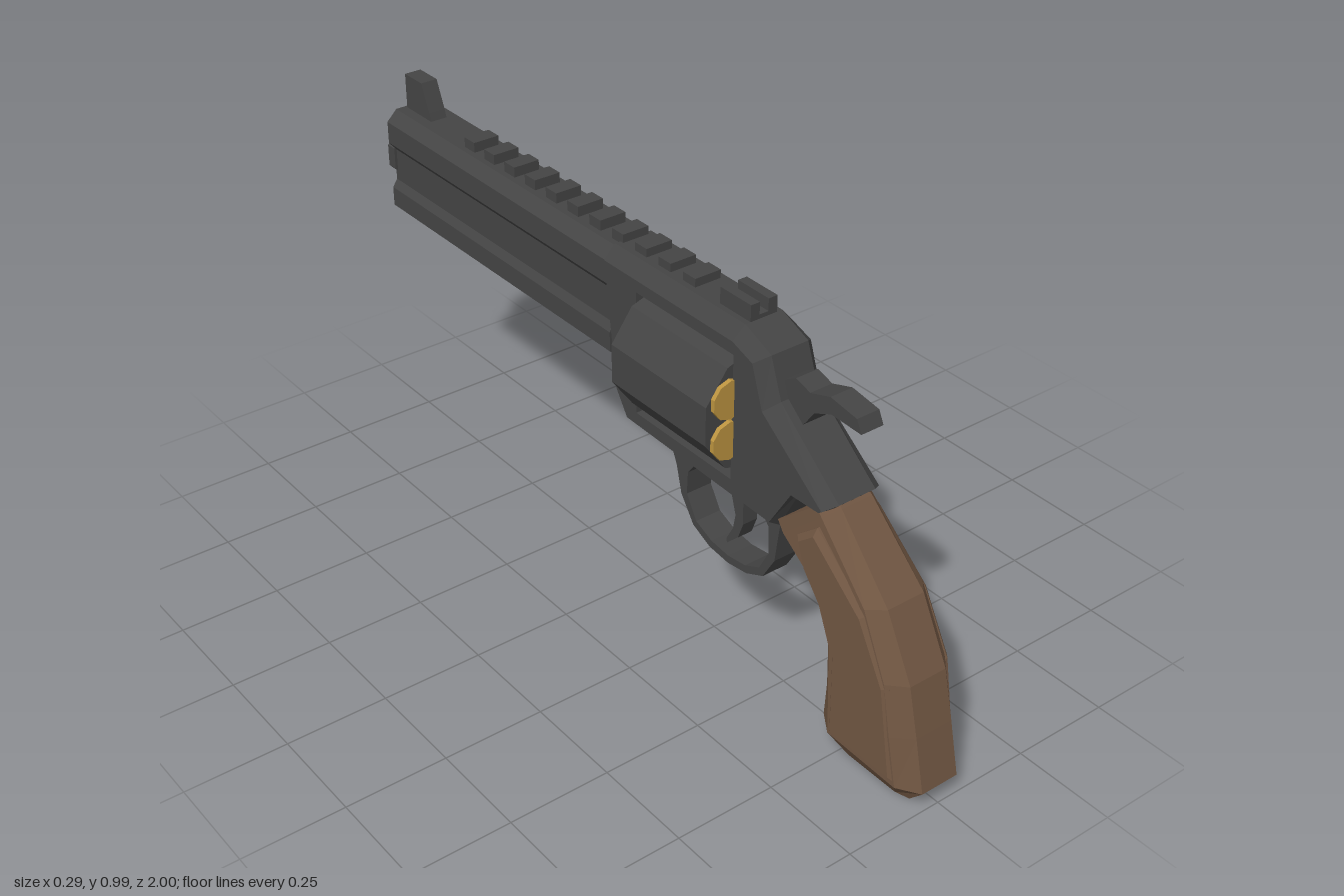
import * as THREE from 'three';

const mat = (name, color) => {
  const m = new THREE.MeshStandardMaterial({ color });
  m.name = name;
  return m;
};

const shapeOf = (pts) => new THREE.Shape(pts.map((p) => new THREE.Vector2(p[0], p[1])));

// Regular polygon points, first corner at angle "start"
const ngon = (n, r, cx, cy, start = 0) =>
  Array.from({ length: n }, (_, i) => {
    const a = start + (i * 2 * Math.PI) / n;
    return [cx + r * Math.cos(a), cy + r * Math.sin(a)];
  });

// Extrude a (z, y) side profile across x, centred on x = 0
function sideExtrude(shape, width, opts = {}) {
  const g = new THREE.ExtrudeGeometry(shape, { depth: width, bevelEnabled: false, ...opts });
  return g.translate(0, 0, -width / 2).rotateY(-Math.PI / 2);
}

// Extrude an (x, y) section along z
function lengthExtrude(shape, z0, z1) {
  const g = new THREE.ExtrudeGeometry(shape, { depth: z1 - z0, bevelEnabled: false });
  return g.translate(0, 0, z0);
}

// Frame: each row is z, y, then the same corner inset on the outer side faces
function frameGeometry() {
  const rows = [
    [-0.06, 0.905, -0.06, 0.872], [-0.02, 0.545, -0.02, 0.56], [0.01, 0.47, 0.02, 0.5],
    [0.52, 0.47, 0.52, 0.49], [0.585, 0.595, 0.585, 0.595], [0.68, 0.6, 0.67, 0.598],
    [0.7, 0.62, 0.68, 0.605], [0.51, 0.775, 0.485, 0.75], [0.475, 0.87, 0.45, 0.85],
    [0.39, 0.905, 0.385, 0.872],
  ];
  const shape = shapeOf(rows);
  shape.holes.push(shapeOf([[0.055, 0.53], [0.39, 0.53], [0.39, 0.842], [0.055, 0.842]]));
  const g = sideExtrude(shape, 0.16, { steps: 3 });
  const p = g.attributes.position;
  for (let i = 0; i < p.count; i++) {
    const x = p.getX(i);
    if (Math.abs(x) < 0.05) { p.setX(i, Math.sign(x) * 0.05); continue; }
    const row = rows.find((r) => Math.hypot(r[0] - p.getZ(i), r[1] - p.getY(i)) < 0.001);
    if (row) { p.setZ(i, row[2]); p.setY(i, row[3]); }
  }
  g.computeVertexNormals();
  return g;
}

// Grip: chamfered sections; rows are back z, y, front z, y, half width, half flat
function gripGeometry() {
  const rows = [
    [0.68, 0.625, 0.51, 0.48, 0.07, 0.04], [0.7, 0.608, 0.53, 0.455, 0.072, 0.042],
    [0.86, 0.45, 0.635, 0.41, 0.082, 0.05], [0.94, 0.3, 0.69, 0.29, 0.086, 0.05],
    [0.97, 0.18, 0.695, 0.15, 0.087, 0.05], [1.0, 0.05, 0.69, 0.06, 0.084, 0.05],
    [0.955, 0, 0.74, 0, 0.05, 0.04],
  ];
  const pos = [], idx = [], n = 8;
  for (const [bz, by, fz, fy, w, f] of rows) {
    const ring = [[f, 0], [w, 0.16], [w, 0.84], [f, 1], [-f, 1], [-w, 0.84], [-w, 0.16], [-f, 0]];
    for (const [x, t] of ring) pos.push(x, by + (fy - by) * t, bz + (fz - bz) * t);
  }
  for (let r = 0; r < rows.length - 1; r++) {
    for (let i = 0; i < n; i++) {
      const a = r * n + i, b = r * n + ((i + 1) % n);
      idx.push(a, a + n, b, b, a + n, b + n);
    }
  }
  const last = (rows.length - 1) * n;
  for (let i = 1; i < n - 1; i++) {
    idx.push(0, i, i + 1);
    idx.push(last, last + i + 1, last + i);
  }
  const g = new THREE.BufferGeometry();
  g.setAttribute('position', new THREE.Float32BufferAttribute(pos, 3));
  g.setIndex(idx);
  const flat = g.toNonIndexed();
  flat.computeVertexNormals();
  return flat;
}

export function createModel() {
  const steel = mat('dark steel', 0x444444);
  const wood = mat('brown wood', 0x705642);
  const brass = mat('brass', 0xbc9440);
  steel.flatShading = wood.flatShading = brass.flatShading = true;

  const model = new THREE.Group();
  model.name = 'revolver';
  const add = (name, geo, material) => {
    const m = new THREE.Mesh(geo, material);
    m.name = name;
    model.add(m);
    return m;
  };

  add('frame', frameGeometry(), steel);

  // Barrel with side grooves, underlug and open bore
  const half = [[0.05, 0.9], [0.078, 0.872], [0.078, 0.815], [0.062, 0.795], [0.062, 0.71],
    [0.075, 0.69], [0.075, 0.64], [0.045, 0.612]];
  const barrel = shapeOf([...half, ...half.map(([x, y]) => [-x, y]).reverse()]);
  const bore = () => shapeOf(ngon(8, 0.05, 0, 0.77, Math.PI / 8));
  barrel.holes.push(bore());
  add('barrel', lengthExtrude(barrel, -0.978, -0.05), steel);
  const crown = shapeOf(ngon(8, 0.074, 0, 0.77, Math.PI / 8));
  crown.holes.push(bore());
  add('muzzleRing', lengthExtrude(crown, -1, -0.97), steel);

  // Ten-sided drum with six chambers and brass cartridge ends
  const cy = 0.686;
  const drum = shapeOf(ngon(10, 0.155, 0, cy, Math.PI / 10));
  const chambers = ngon(6, 0.102, 0, cy, Math.PI / 6);
  chambers.forEach(([x, y]) => drum.holes.push(shapeOf(ngon(8, 0.038, x, y))));
  add('drum', lengthExtrude(drum, 0.055, 0.385), steel);
  for (const [x, y] of chambers) {
    const rim = add('cartridgeRim', new THREE.CylinderGeometry(0.048, 0.048, 0.012, 10), brass);
    rim.rotation.x = Math.PI / 2;
    rim.position.set(x, y, 0.39);
  }

  // Sights and top rail
  add('frontSight', sideExtrude(shapeOf([[-0.855, 0.89], [-0.865, 0.92], [-0.895, 0.99],
    [-0.97, 0.99], [-0.97, 0.89]]), 0.045), steel);
  for (const s of [-1, 1]) {
    add('rearSightBlade', new THREE.BoxGeometry(0.024, 0.05, 0.1).translate(s * 0.024, 0.92, 0.34), steel);
  }
  add('rearSightBase', new THREE.BoxGeometry(0.07, 0.02, 0.1).translate(0, 0.905, 0.34), steel);
  for (let i = 0; i < 11; i++) {
    add('railRib', new THREE.BoxGeometry(0.07, 0.035, 0.042).translate(0, 0.908, 0.184 - i * 0.085), steel);
  }

  // Hammer, trigger and guard
  add('hammer', sideExtrude(shapeOf([[0.73, 0.8], [0.715, 0.83], [0.635, 0.842], [0.575, 0.822],
    [0.53, 0.835], [0.47, 0.8], [0.47, 0.72], [0.54, 0.715], [0.565, 0.745], [0.59, 0.78],
    [0.64, 0.803]]), 0.06), steel);
  add('trigger', sideExtrude(shapeOf([[0.41, 0.48], [0.365, 0.43], [0.367, 0.37], [0.35, 0.325],
    [0.313, 0.29], [0.31, 0.3], [0.332, 0.34], [0.34, 0.38], [0.325, 0.43], [0.29, 0.48]]), 0.04), steel);
  add('triggerGuard', sideExtrude(shapeOf([[0.51, 0.48], [0.5, 0.41], [0.492, 0.35], [0.455, 0.287],
    [0.4, 0.262], [0.335, 0.253], [0.27, 0.26], [0.21, 0.287], [0.165, 0.35], [0.147, 0.42],
    [0.12, 0.48], [0.235, 0.48], [0.188, 0.42], [0.185, 0.36], [0.22, 0.303], [0.275, 0.28],
    [0.335, 0.273], [0.395, 0.281], [0.442, 0.303], [0.472, 0.36], [0.468, 0.43], [0.42, 0.48]]), 0.07), steel);

  // Grip with raised side panels
  add('grip', gripGeometry(), wood);
  const panel = shapeOf([[0.95, 0.06], [0.74, 0.06], [0.735, 0.28], [0.7, 0.36], [0.635, 0.44],
    [0.61, 0.51], [0.67, 0.56], [0.83, 0.43], [0.91, 0.29]]);
  for (const s of [-1, 1]) {
    const g = sideExtrude(panel, 0.01, { bevelEnabled: true, bevelThickness: 0.012,
      bevelSize: 0.014, bevelOffset: -0.014, bevelSegments: 1 });
    add(s > 0 ? 'leftGripPanel' : 'rightGripPanel', g.translate(s > 0 ? 0.081 : -0.074, 0, 0), wood);
  }
  return model;
}
